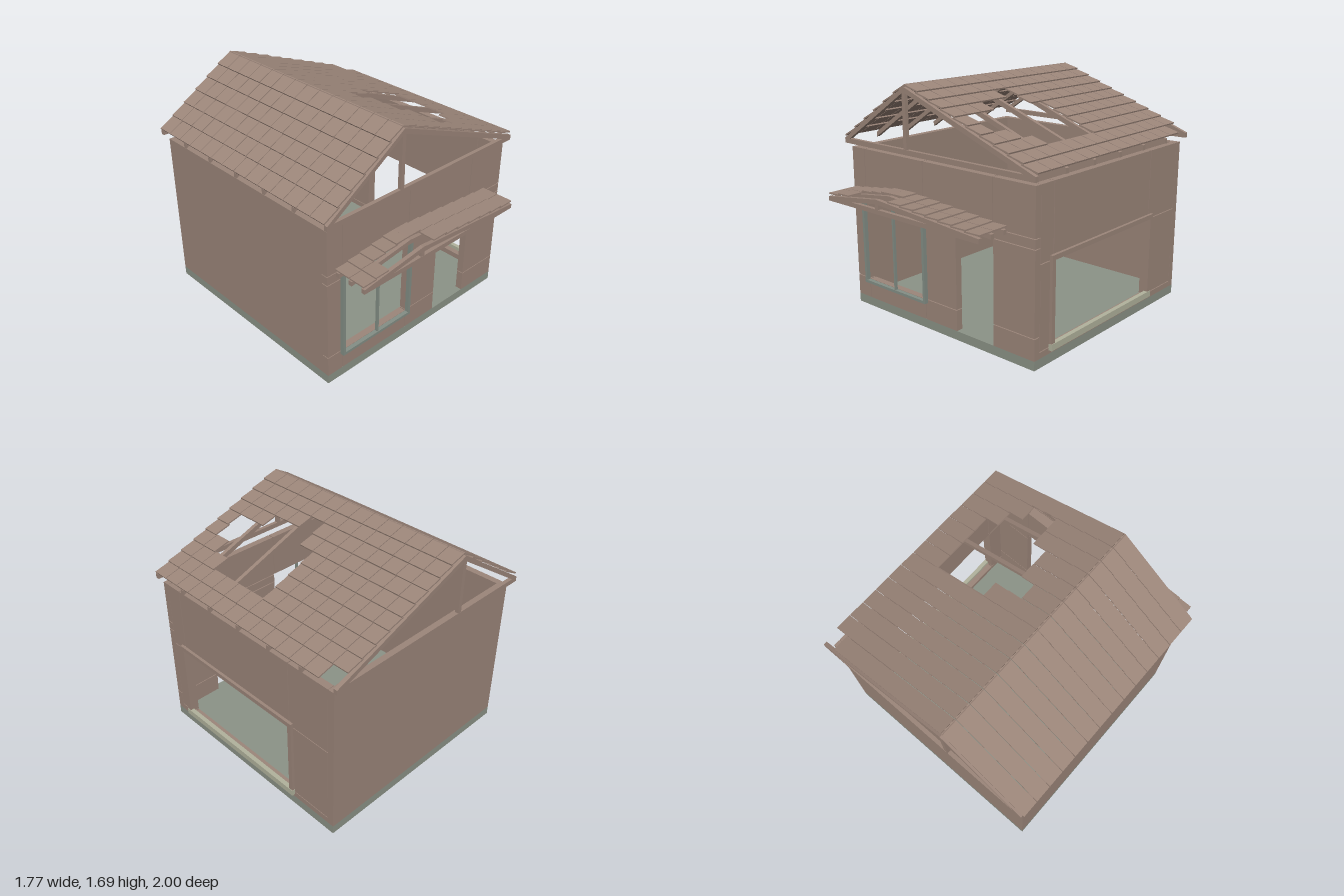
import * as THREE from 'three';

const mat = (name, color) => {
  const m = new THREE.MeshStandardMaterial({ color });
  m.name = name;
  return m;
};

export function createModel() {
  const house = new THREE.Group();
  house.name = 'house';
  const brown = mat('brown', 0x9c867a);
  const concrete = mat('greyGreen', 0x8c9387);
  const frameGreen = mat('frameGreen', 0x848f86);
  const cream = mat('cream', 0xb2b39d);

  const group = (name, parent = house) => {
    const g = new THREE.Group();
    g.name = name;
    parent.add(g);
    return g;
  };
  // Box given by its two extents on each axis
  const box = (parent, name, material, x0, x1, y0, y1, z0, z1) => {
    const m = new THREE.Mesh(new THREE.BoxGeometry(x1 - x0, y1 - y0, z1 - z0), material);
    m.position.set((x0 + x1) / 2, (y0 + y1) / 2, (z0 + z1) / 2);
    m.name = name;
    parent.add(m);
    return m;
  };

  // Foundation slab
  box(house, 'foundation', concrete, -0.845, 0.845, 0, 0.065, -0.95, 0.73);

  // Plain back and left walls
  const walls = group('walls');
  box(walls, 'backWall', brown, -0.845, 0.845, 0.065, 1.19, -0.95, -0.9);
  box(walls, 'leftWall', brown, -0.845, -0.795, 0.065, 1.19, -0.9, 0.68);

  // Front wall panels, leaving out the window and the doorway
  const gap = 0.003;
  const front = group('frontWall', walls);
  const fx = [-0.845, -0.715, -0.12, 0.18, 0.505, 0.845];
  const fy = [0.065, 0.215, 0.795, 0.862, 1.19];
  const frontPanels = [
    [[0, 1], [1, 2], [2, 3], [4, 5]],
    [[0, 1], [2, 3], [4, 5]],
    [[0, 1], [2, 3], [4, 5]],
    [[0, 1], [1, 2], [2, 4], [4, 5]],
  ];
  const inset = (v, lo, hi, side) => (v === lo || v === hi ? v : v + side * gap);
  frontPanels.forEach((row, j) => row.forEach(([a, b]) => {
    box(front, 'frontPanel', brown,
      inset(fx[a], -0.845, 0.845, 1), inset(fx[b], -0.845, 0.845, -1),
      inset(fy[j], 0.065, 1.19, 1), inset(fy[j + 1], 0.065, 1.19, -1), 0.68, 0.73);
  }));

  // Side wall panels around the wide opening
  const side = group('sideWall', walls);
  const sz = [-0.9, -0.55, 0.55, 0.68];
  const sy = [0.065, 0.11, 0.69, 1.19];
  for (let i = 0; i < 3; i++) {
    for (let j = 0; j < 3; j++) {
      if (i === 1 && j === 1) continue;
      box(side, 'sidePanel', brown, 0.795, 0.845,
        inset(sy[j], 0.065, 1.19, 1), inset(sy[j + 1], 0.065, 1.19, -1),
        sz[i] + gap, sz[i + 1] - gap);
    }
  }

  // Front window frame with centre bar
  const win = group('frontWindowFrame');
  for (const x of [-0.735, -0.12]) box(win, 'frameSide', frameGreen, x, x + 0.02, 0.19, 0.88, 0.73, 0.76);
  for (const y of [0.19, 0.86]) box(win, 'frameRail', frameGreen, -0.715, -0.12, y, y + 0.02, 0.73, 0.76);
  box(win, 'frameBar', frameGreen, -0.421, -0.407, 0.21, 0.86, 0.735, 0.755);

  // Side opening frame with pale sill
  const opening = group('sideOpeningFrame');
  for (const z of [-0.585, 0.552]) box(opening, 'frameSide', brown, 0.84, 0.866, 0.09, 0.725, z, z + 0.033);
  box(opening, 'frameTop', brown, 0.84, 0.866, 0.692, 0.725, -0.552, 0.552);
  box(opening, 'sill', cream, 0.838, 0.87, 0.09, 0.135, -0.587, 0.587);

  // Prism cut from an outline in the xy plane
  const prism = (parent, name, pts, z, depth) => {
    const shape = new THREE.Shape(pts.map(([x, y]) => new THREE.Vector2(x, y)));
    const m = new THREE.Mesh(new THREE.ExtrudeGeometry(shape, { depth, bevelEnabled: false }), brown);
    m.position.z = z - depth / 2;
    m.name = name;
    parent.add(m);
  };
  // Truss: two rafters, plus tie beam and king post when full
  const truss = (parent, r, z, full) => {
    const [rx, ry] = r.ridge;
    const g = group('truss', parent);
    for (const ex of [r.left, r.right]) {
      const pts = [[rx, ry], [ex, r.eave], [ex, r.eave - r.t], [rx, ry - r.t]];
      prism(g, 'rafter', ex < rx ? pts : pts.reverse(), z, 0.028);
    }
    if (!full) return;
    box(g, 'tieBeam', brown, r.left, r.right, r.eave - r.t, r.eave, z - 0.014, z + 0.014);
    box(g, 'kingPost', brown, rx - 0.015, rx + 0.015, r.eave, ry - r.t * 0.6, z - 0.013, z + 0.013);
  };

  // One roof slope of overlapping tilted tiles
  const slope = (parent, name, r, ex, rows, zStart, cols, pitchZ, missing) => {
    const g = group(name, parent);
    const [rx, ry] = r.ridge;
    const dx = ex - rx, dy = r.eave - ry;
    const length = Math.hypot(dx, dy), p = length / rows;
    const a = Math.atan2(dy, dx), s = Math.sign(dx);
    const geo = new THREE.BoxGeometry(p * 1.1, 0.01, pitchZ - 0.005);
    const tilt = s * Math.asin(r.lift / p);
    for (let i = 0; i < rows; i++) {
      for (let c = 0; c < cols; c++) {
        if (missing(i, c)) continue;
        const d = (i + 0.46) * p;
        const m = new THREE.Mesh(geo, brown);
        m.position.set(
          rx + Math.cos(a) * d - Math.sin(a) * s * 0.013,
          ry + Math.sin(a) * d + Math.cos(a) * s * 0.013,
          zStart + (c + 0.5) * pitchZ);
        m.rotation.z = a + tilt;
        m.name = 'tile';
        g.add(m);
      }
    }
  };

  // Main roof, with broken-away tiles on the right slope: column -> [first row, last row]
  const roof = group('roof');
  const main = { ridge: [-0.24, 1.675], left: -0.873, right: 0.873, eave: 1.256, t: 0.036, lift: 0.012 };
  for (let i = 0; i < 7; i++) truss(roof, main, -0.985 + i * 0.29, i === 0 || i === 6);
  const hole = { 0: [9, 9], 7: [4, 7], 8: [2, 7], 9: [3, 7], 10: [3, 7], 11: [4, 6], 12: [4, 5] };
  const inHole = (i, c) => c in hole && i >= hole[c][0] && i <= hole[c][1];
  slope(roof, 'leftSlope', main, main.left, 6, -0.985, 14, 0.1245, () => false);
  slope(roof, 'rightSlope', main, main.right, 10, -0.985, 14, 0.1245, inHole);

  // Awning over the window and door
  const awning = group('awning');
  const low = { ridge: [-0.28, 0.955], left: -0.79, right: 0.635, eave: 0.887, t: 0.032, lift: 0.01 };
  [0.765, 0.875, 0.985].forEach((z, i) => truss(awning, low, z, i !== 1));
  slope(awning, 'awningLeftSlope', low, low.left, 5, 0.745, 2, 0.125, (i, c) => c === 1 && i < 3);
  slope(awning, 'awningRightSlope', low, low.right, 8, 0.745, 2, 0.125, (i, c) => c === 1 && i < 1);

  return house;
}
